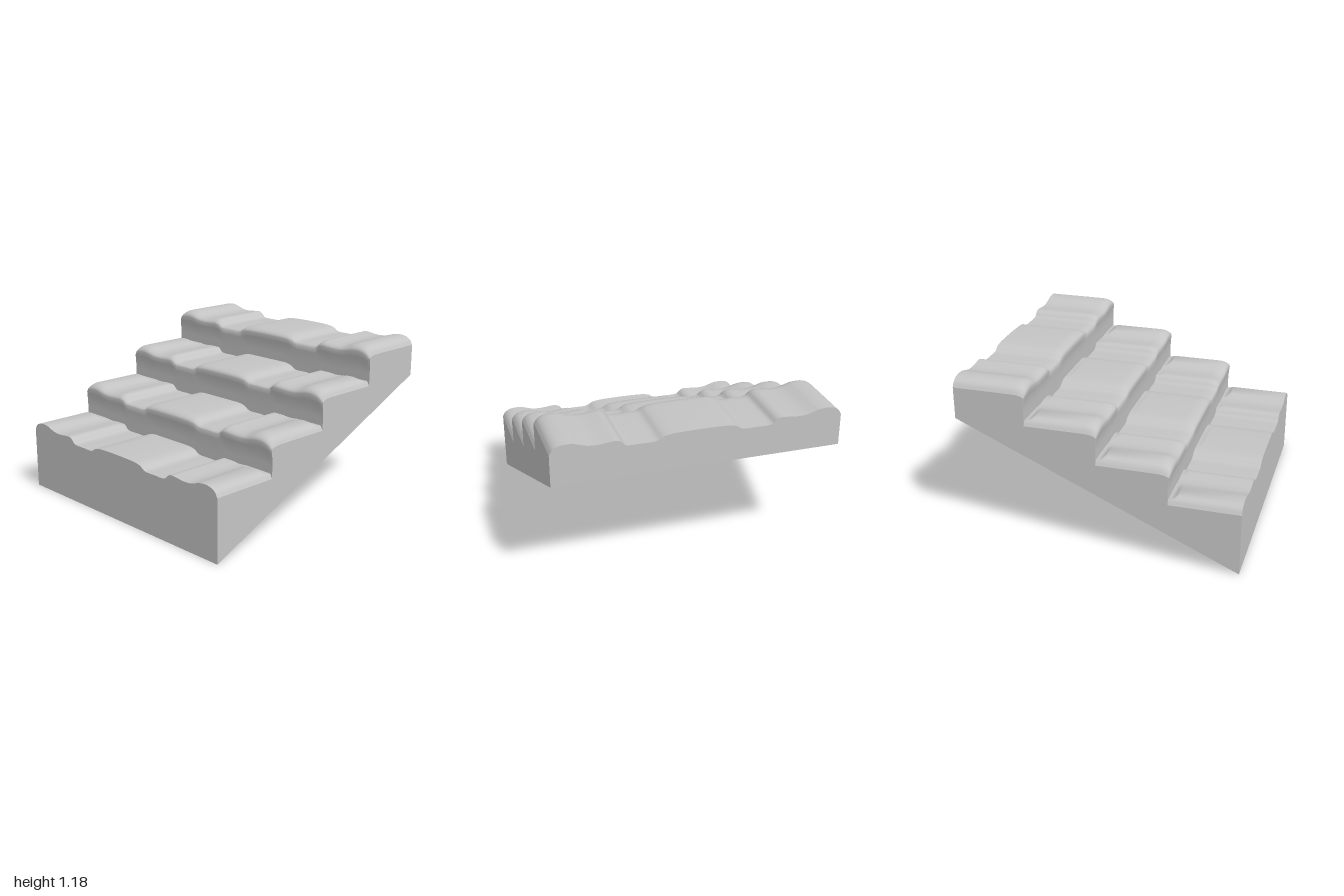
import * as THREE from 'three';
import { toCreasedNormals } from 'three/addons/utils/BufferGeometryUtils.js';

const RISE = 0.2225, BASE = 0.515, SLOPE_END = 0.892;
const { clamp, smoothstep } = THREE.MathUtils;

// Half of the wavy cross-section: distance from the middle, height below the highest ridge
const HALF = [[0, -0.025], [0.1, -0.026], [0.2, -0.031], [0.25, -0.042], [0.285, -0.063], [0.31, -0.069],
  [0.39, -0.069], [0.48, -0.069], [0.505, -0.063], [0.535, -0.035], [0.565, -0.024], [0.62, -0.028],
  [0.69, -0.034], [0.75, -0.03], [0.8, -0.016], [0.84, -0.004], [0.9, 0], [0.95, -0.01], [0.98, -0.03], [1, -0.063]];

function crossSection() {
  const full = [...HALF.slice(1).reverse().map(([z, h]) => [-z, h]), ...HALF];
  return new THREE.CatmullRomCurve3(full.map(([z, h]) => new THREE.Vector3(0, h, z))).getPoints(152);
}

// Top line of the four courses along x, for one point of the cross-section
function courseLine(h, z) {
  const line = [];
  const ridge = smoothstep(h, -0.07, 0);
  const nose = 0.005 + 0.013 * ridge;
  const round = 0.022 + 0.023 * ridge;
  for (let k = 0; k < 4; k++) {
    const top = BASE + RISE * k + h;
    const x0 = -1 + 0.5 * k;
    const floor = BASE + RISE * k - 0.03;
    if (k === 0) line.push([-1, top]);
    else {
      // Riser leaning out into a rounded nose
      const low = line[line.length - 1][1];
      const brow = top - round;
      line.push([x0, low + (brow - low) * 0.3], [x0, low + (brow - low) * 0.6],
        [x0 - nose * 0.5, low + (brow - low) * 0.8], [x0 - nose, brow]);
      for (let a = 1; a <= 5; a++) {
        const t = a / 5 * Math.PI / 2;
        line.push([x0 - nose + 0.09 * (1 - Math.cos(t)), brow + round * Math.sin(t)]);
      }
    }
    if (k === 3) line.push([1, top]);
    else {
      // Shallow groove at the foot of the next riser
      const end = x0 + 0.5;
      line.push([end - 0.065, top]);
      for (const [dx, d] of [[0.05, 0.018], [0.035, 0.007], [0.02, 0], [0, 0.001]])
        line.push([end - dx, Math.min(top, floor + d)]);
    }
  }
  return line.map(([x, y]) => new THREE.Vector3(clamp(x, -1, 1), y, z));
}

// Surface through neighbouring course lines
function loft(lines) {
  const n = lines[0].length, index = [];
  for (let i = 0; i < lines.length - 1; i++)
    for (let j = 0; j < n - 1; j++) {
      const a = i * n + j, b = a + n;
      index.push(a, b, a + 1, b, b + 1, a + 1);
    }
  const geo = new THREE.BufferGeometry().setFromPoints(lines.flat());
  geo.setIndex(index);
  return toCreasedNormals(geo, 0.7);
}

// Flat wall one unit out from the middle, turned to its side
function wall(points, angle) {
  const geo = new THREE.ShapeGeometry(new THREE.Shape(points.map(([x, y]) => new THREE.Vector2(x, y))));
  return geo.translate(0, 0, 1).rotateY(angle);
}

export function createModel() {
  const group = new THREE.Group();
  const grey = new THREE.MeshStandardMaterial({ color: 0xc4c4c4 });
  grey.name = 'light grey';
  const add = (name, geo) => {
    const mesh = new THREE.Mesh(geo, grey);
    mesh.name = name;
    group.add(mesh);
  };

  const lines = crossSection().map((p) => courseLine(p.y, p.z));
  add('tileCourses', loft(lines));

  // Side walls
  const edge = lines[lines.length - 1];
  add('frontWall', wall([[-1, 0], [1, SLOPE_END], ...edge.map((p) => [p.x, p.y]).reverse()], 0));
  add('backWall', wall([[1, 0], [-1, SLOPE_END], ...edge.map((p) => [-p.x, p.y]).reverse()], Math.PI));

  // Low and high end walls
  const low = lines.map((l) => [l[0].z, l[0].y]).reverse();
  const high = lines.map((l) => [l[l.length - 1].z, l[l.length - 1].y]).reverse();
  add('lowEnd', wall([[-1, 0], [1, 0], ...low], -Math.PI / 2));
  add('highEnd', wall([[-1, SLOPE_END], [1, SLOPE_END], ...high], Math.PI / 2));

  // Sloping underside
  const under = new THREE.PlaneGeometry(Math.hypot(2, SLOPE_END), 2).rotateX(Math.PI / 2);
  add('underside', under.rotateZ(Math.atan2(SLOPE_END, 2)).translate(0, SLOPE_END / 2, 0));
  return group;
}
